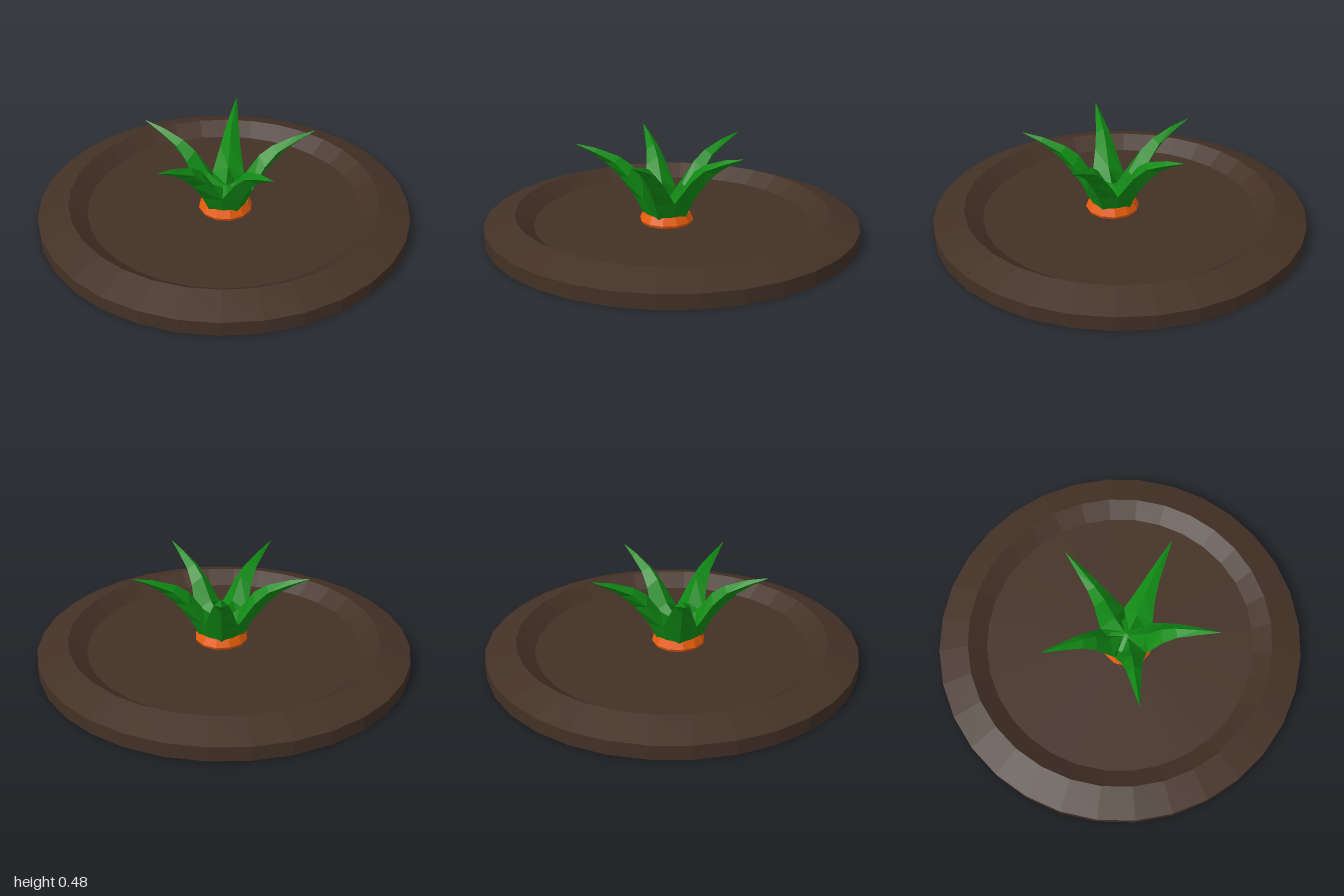
import * as THREE from 'three';

const mat = (name, color, flatShading = true) => {
  const m = new THREE.MeshStandardMaterial({ color, flatShading });
  m.name = name;
  return m;
};

// Lathe from [radius, y] pairs
const lathe = (pts, sides) =>
  new THREE.LatheGeometry(pts.map(([r, y]) => new THREE.Vector2(r, y)), sides);

// Curved, tapering leaf growing along +x with a four-sided section.
// Each section: ridge x,y / edge x,y / keel x,y / half width
function leafGeometry() {
  const sections = [
    [0.02, 0.19, 0.095, 0.11, 0.125, 0.10, 0.069],
    [0.10, 0.25, 0.122, 0.20, 0.175, 0.20, 0.088],
    [0.18, 0.365, 0.20, 0.32, 0.25, 0.305, 0.056],
    [0.25, 0.415, 0.27, 0.39, 0.32, 0.38, 0.038],
    [0.37, 0.46, 0.375, 0.44, 0.39, 0.43, 0.02],
    [0.475, 0.482, 0.475, 0.48, 0.475, 0.478, 0.002],
  ];
  const rings = sections.map(([rx, ry, ex, ey, kx, ky, w]) =>
    [[rx, ry, 0], [ex, ey, w], [kx, ky, 0], [ex, ey, -w]]);
  const pos = [];
  for (let s = 0; s < rings.length - 1; s++) {
    for (let i = 0; i < 4; i++) {
      const j = (i + 1) % 4;
      const [a, b, c, d] = [rings[s][i], rings[s][j], rings[s + 1][i], rings[s + 1][j]];
      pos.push(...a, ...b, ...c, ...b, ...d, ...c);
    }
  }
  const g = new THREE.BufferGeometry();
  g.setAttribute('position', new THREE.Float32BufferAttribute(pos, 3));
  g.computeVertexNormals();
  return g;
}

export function createModel() {
  const model = new THREE.Group();
  model.name = 'carrotInSoil';
  const soil = mat('soilBrown', 0x433126);
  const orange = mat('carrotOrange', 0xe65c0c);
  const green = mat('leafGreen', 0x108a14);
  const add = (parent, name, geometry, material) => {
    const mesh = new THREE.Mesh(geometry, material);
    mesh.name = name;
    parent.add(mesh);
    return mesh;
  };

  // Round soil mound with a raised bevelled rim and sunken floor
  add(model, 'soilMound', lathe(
    [[0, 0], [1, 0], [1, 0.075], [0.835, 0.13], [0.74, 0.06], [0, 0.06]], 32), soil);

  // Carrot, just off centre
  const carrot = new THREE.Group();
  carrot.name = 'carrot';
  carrot.position.set(0, 0, 0.045);
  model.add(carrot);
  add(carrot, 'carrotTop', lathe(
    [[0.13, 0.04], [0.145, 0.075], [0.125, 0.115], [0, 0.125]], 12), orange);

  // Leaf crown and five arching leaves
  add(carrot, 'leafCrown', lathe([[0.11, 0.10], [0.10, 0.16], [0, 0.20]], 10), green);
  const leaf = leafGeometry();
  for (let i = 0; i < 5; i++) {
    add(carrot, `leaf${i + 1}`, leaf, green).rotation.y = (i * Math.PI * 2) / 5;
  }
  return model;
}
